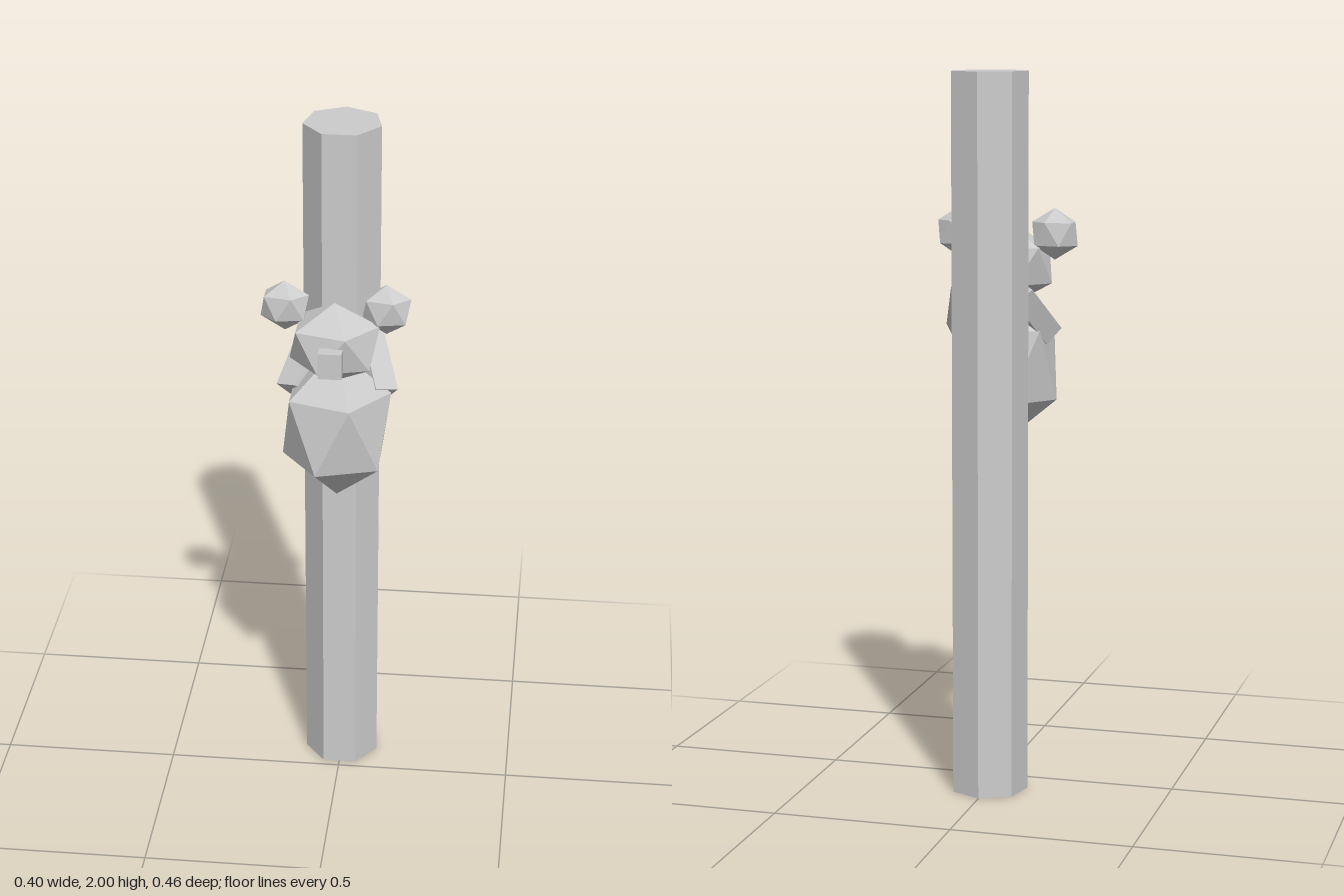
import * as THREE from 'three';

const grey = new THREE.MeshStandardMaterial({ color: 0xcccccc, flatShading: true });
grey.name = 'plain grey';

function addPart(group, name, geometry, x, y, z) {
  const mesh = new THREE.Mesh(geometry, grey);
  mesh.name = name;
  mesh.position.set(x, y, z);
  group.add(mesh);
  return mesh;
}

// Twenty-sided blob standing on one corner, stretched along each axis
function blob(rx, ry, rz) {
  const geometry = new THREE.IcosahedronGeometry(1, 0);
  geometry.rotateZ(-Math.atan(2 / (1 + Math.sqrt(5))));
  geometry.scale(rx, ry, rz);
  geometry.computeVertexNormals();
  return geometry;
}

export function createModel() {
  const model = new THREE.Group();
  model.name = 'climbingBear';

  // Seven-sided trunk with one corner to the back
  const trunk = new THREE.CylinderGeometry(0.1084, 0.1084, 2, 7);
  trunk.rotateY(Math.PI);
  addPart(model, 'trunk', trunk, 0, 1, -0.12);

  // Body, head and nose
  addPart(model, 'body', blob(0.167, 0.224, 0.155), 0, 1.187, 0.048);
  addPart(model, 'head', blob(0.136, 0.115, 0.117), 0, 1.458, 0.098);
  addPart(model, 'nose', new THREE.BoxGeometry(0.063, 0.073, 0.037), 0, 1.447, 0.209);

  for (const side of [1, -1]) {
    const label = side > 0 ? 'left' : 'right';

    // Ear
    addPart(model, label + 'Ear', blob(0.073, 0.072, 0.045), side * 0.1365, 1.548, 0.072);

    // Arm: a bar reaching from the shoulder up and back around the trunk
    const along = new THREE.Vector3(side * 0.286, -0.665, 0.69).normalize();
    const outward = new THREE.Vector3(side * 0.59, 0.59, 0.55);
    outward.addScaledVector(along, -outward.dot(along)).normalize();
    const across = along.clone().cross(outward);
    const arm = addPart(model, label + 'Arm', new THREE.BoxGeometry(0.18, 0.062, 0.072),
      side * 0.0956, 1.338, -0.023);
    arm.quaternion.setFromRotationMatrix(new THREE.Matrix4().makeBasis(along, outward, across));
  }
  return model;
}
